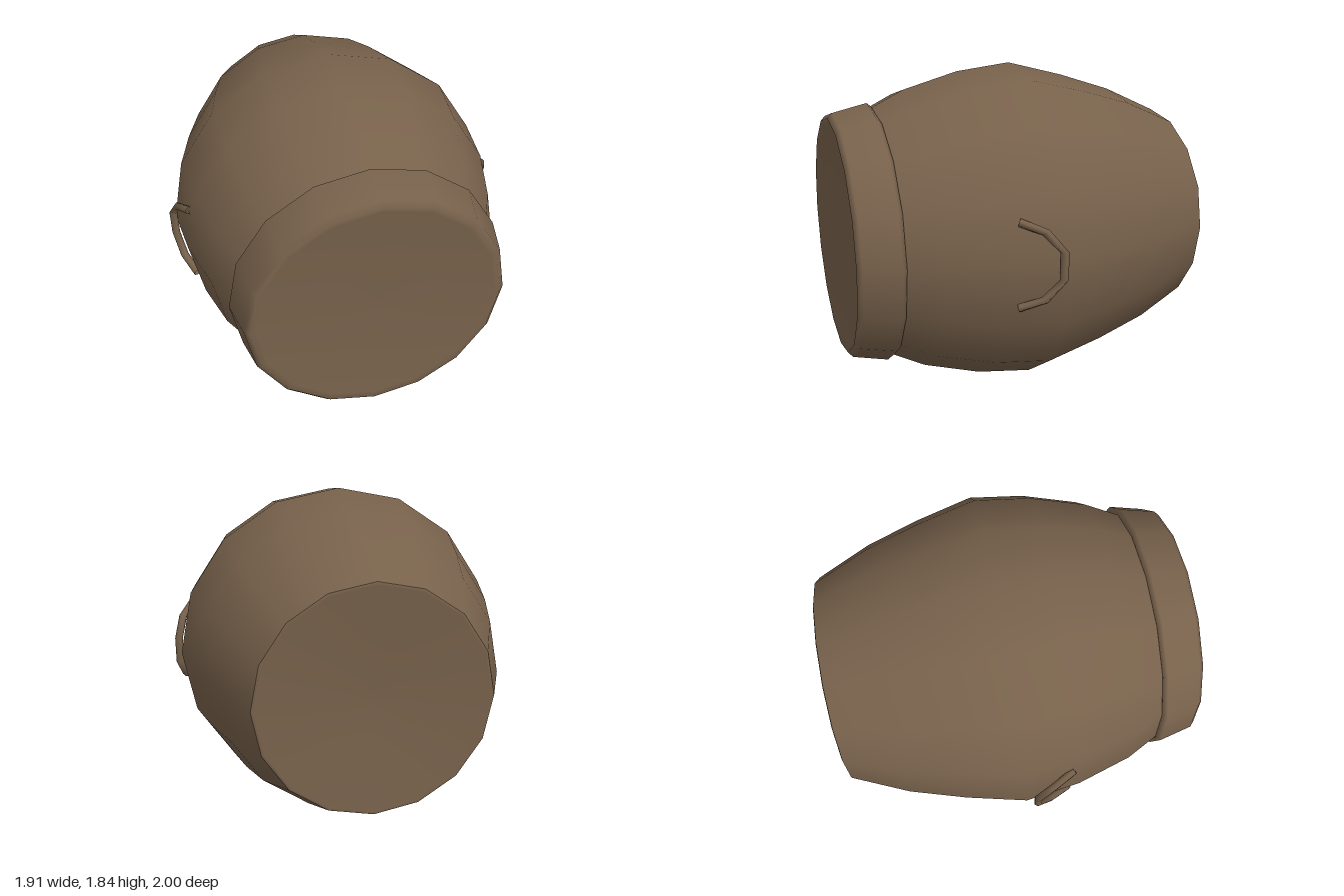
import * as THREE from 'three';

const SIDES = 16;
const CENTRE_Y = 0.92;

export function createModel() {
  const model = new THREE.Group();
  model.name = 'barrel';

  const wood = new THREE.MeshStandardMaterial({ color: 0x77614b, side: THREE.DoubleSide });
  wood.name = 'brown wood';

  const add = (name, geometry) => {
    const mesh = new THREE.Mesh(geometry, wood);
    mesh.name = name;
    model.add(mesh);
  };

  // Turned part lying along z, from [radius, z] pairs
  const turned = (name, profile) => {
    const points = profile.map(([r, z]) => new THREE.Vector2(r, z));
    const geometry = new THREE.LatheGeometry(points, SIDES);
    geometry.rotateX(Math.PI / 2);
    geometry.translate(0, CENTRE_Y, 0);
    add(name, geometry);
  };

  // Bulging wall
  turned('body', [
    [0.605, -0.995], [0.745, -0.68], [0.84, -0.37], [0.92, -0.04],
    [0.88, 0.27], [0.79, 0.58], [0.695, 0.77],
  ]);

  // Slightly dished base closing the back end
  turned('base', [[0, -0.965], [0.3, -0.973], [0.59, -1], [0.605, -0.995]]);

  // Lid with a chamfered rear edge, a rounded rim and a slightly dished face
  turned('lid', [
    [0.68, 0.762], [0.708, 0.762], [0.727, 0.785], [0.682, 0.975],
    [0.655, 1], [0.625, 0.99], [0.3, 0.975], [0, 0.97],
  ]);

  // Bent side handles
  const bends = [[0.845, 0.225, 0.23], [0.895, 0.195, 0.13], [0.931, 0.08, 0.022]];
  for (const side of [1, -1]) {
    const upper = bends.map(([x, y, z]) => new THREE.Vector3(side * x, CENTRE_Y + y, z));
    const lower = bends.map(([x, y, z]) => new THREE.Vector3(side * x, CENTRE_Y - y, z)).reverse();
    const path = new THREE.CatmullRomCurve3([...upper, ...lower], false, 'catmullrom', 0.1);
    add(side > 0 ? 'leftHandle' : 'rightHandle', new THREE.TubeGeometry(path, 5, 0.022, 6));
  }

  return model;
}
